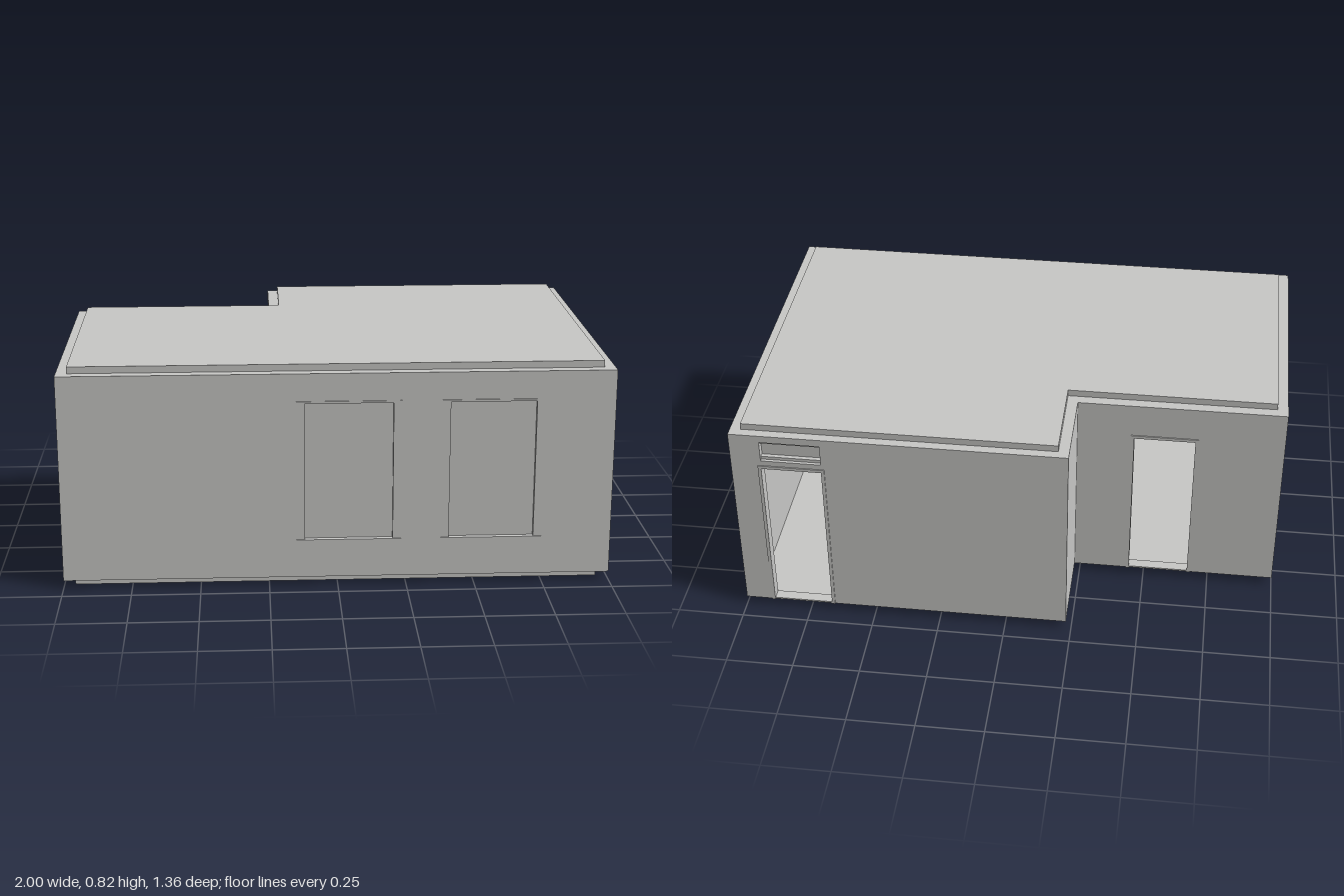
import * as THREE from 'three';
import { RoundedBoxGeometry } from 'three/addons/geometries/RoundedBoxGeometry.js';

const T = 0.04;        // wall thickness
const Y0 = 0.03, Y1 = 0.8;

const plaster = new THREE.MeshStandardMaterial({ color: 0xc8c8c6 });
plaster.name = 'plasterGrey';
const cloth = new THREE.MeshStandardMaterial({ color: 0xd4d4d2, side: THREE.DoubleSide });
cloth.name = 'clothGrey';

function add(parent, name, geometry, x = 0, y = 0, z = 0, material = plaster) {
  const mesh = new THREE.Mesh(geometry, material);
  mesh.name = name;
  mesh.position.set(x, y, z);
  parent.add(mesh);
  return mesh;
}

// Box given by its extents
function span(parent, name, x0, x1, y0, y1, z0, z1) {
  return add(parent, name, new THREE.BoxGeometry(x1 - x0, y1 - y0, z1 - z0),
    (x0 + x1) / 2, (y0 + y1) / 2, (z0 + z1) / 2);
}

// Wall panel in local XY with rectangular openings [x0, x1, y0, y1]
function wall(parent, name, a, b, openings = []) {
  const group = new THREE.Group();
  group.name = name;
  const shape = new THREE.Shape();
  shape.moveTo(a, Y0).lineTo(b, Y0).lineTo(b, Y1).lineTo(a, Y1).closePath();
  for (const [x0, x1, y0, y1] of openings) {
    const hole = new THREE.Path();
    hole.moveTo(x0, y0).lineTo(x0, y1).lineTo(x1, y1).lineTo(x1, y0).closePath();
    shape.holes.push(hole);
  }
  add(group, name + 'Panel', new THREE.ExtrudeGeometry(shape, { depth: T, bevelEnabled: false }));
  parent.add(group);
  return group;
}

// Recessed window with sill, lintel and mullions; outer face at local z = T
function fillWindow(group, [x0, x1, y0, y1], panes, over) {
  span(group, 'windowPane', x0, x1, y0, y1, 0.015, 0.024);
  span(group, 'windowSill', x0 - over, x1 + over, y0 - 0.008, y0, 0.02, T + 0.004);
  span(group, 'windowLintel', x0 - over, x1 + over, y1, y1 + 0.008, 0.02, T + 0.004);
  for (let i = 1; i < panes; i++) {
    const x = x0 + (x1 - x0) * i / panes;
    span(group, 'mullion', x - 0.008, x + 0.008, y0, y1, 0.01, T - 0.004);
  }
}

// Thin casing around a doorway; outer face at local z = 0
function doorCasing(group, [x0, x1, , y1]) {
  span(group, 'doorCasingTop', x0 - 0.012, x1 + 0.012, y1, y1 + 0.012, -0.004, 0.01);
  span(group, 'doorCasingSide', x0 - 0.012, x0, Y0, y1, -0.004, 0.01);
  span(group, 'doorCasingSide', x1, x1 + 0.012, Y0, y1, -0.004, 0.01);
}

// L-shaped slab within the inner wall faces
function slab(parent, name, y, height) {
  const shape = new THREE.Shape();
  shape.moveTo(-0.96, -0.635).lineTo(0.96, -0.635).lineTo(0.96, 0.64)
    .lineTo(-0.19, 0.64).lineTo(-0.19, 0.29).lineTo(-0.96, 0.29).closePath();
  const geometry = new THREE.ExtrudeGeometry(shape, { depth: height, bevelEnabled: false });
  geometry.rotateX(-Math.PI / 2);
  add(parent, name, geometry, 0, y, 0);
}

export function createModel() {
  const model = new THREE.Group();
  model.name = 'room';

  slab(model, 'floor', 0, Y0);
  slab(model, 'roof', Y1 - 0.005, 0.03);

  // Front wall with two windows
  const frontWindows = [[-0.12, 0.2, 0.175, 0.69], [0.405, 0.715, 0.175, 0.69]];
  const front = wall(model, 'frontWall', -1, 1, frontWindows);
  front.position.z = 0.675 - T;
  frontWindows.forEach((w) => fillWindow(front, w, 1, 0.03));

  // Long back wall with doorway and transom
  const mainDoor = [0.667, 0.888, 0.036, 0.657];
  const transom = [0.667, 0.888, 0.69, 0.772];
  const back = wall(model, 'backWall', -0.23, 1, [mainDoor, transom]);
  back.position.z = -0.675;
  doorCasing(back, mainDoor);
  span(back, 'transomPane', transom[0], transom[1], transom[2], transom[3], 0.028, 0.036);
  for (const y of [transom[2], transom[3] - 0.012])
    span(back, 'transomRail', transom[0], transom[1], y, y + 0.012, 0.012, 0.03);

  // Recessed back wall with second doorway
  const sideDoor = [-0.67, -0.443, 0.036, 0.657];
  const recess = wall(model, 'recessWall', -1, -0.19, [sideDoor]);
  recess.position.z = -0.33;
  doorCasing(recess, sideDoor);

  // Side walls, turned so that local x runs along world z
  const wideWindow = [-0.18, 0.57, 0.18, 0.72];
  const windowWall = wall(model, 'windowWall', -0.33 + T, 0.675 - T, [wideWindow]);
  windowWall.position.x = -1 + T;
  fillWindow(windowWall, wideWindow, 3, 0.015);
  const notchWall = wall(model, 'notchWall', -0.675 + T, -0.33);
  notchWall.position.x = -0.23 + T;
  const blankWall = wall(model, 'blankWall', -0.675 + T, 0.675 - T);
  blankWall.position.x = 1;
  for (const w of [windowWall, notchWall, blankWall]) w.rotation.y = -Math.PI / 2;

  // Pleated curtain inside the wide window
  const pleats = new THREE.PlaneGeometry(0.8, 0.66, 96, 1);
  const p = pleats.attributes.position;
  for (let i = 0; i < p.count; i++) p.setZ(i, 0.012 * Math.sin(p.getX(i) * 150));
  pleats.computeVertexNormals();
  add(model, 'curtain', pleats, -0.935, 0.4, 0.19, cloth).rotation.y = Math.PI / 2;

  // Sofa under the curtain
  const sofa = new THREE.Group();
  sofa.name = 'sofa';
  add(sofa, 'sofaSeat', new RoundedBoxGeometry(0.2, 0.12, 0.56, 3, 0.02), -0.8, 0.09, 0.2);
  add(sofa, 'sofaBack', new RoundedBoxGeometry(0.06, 0.26, 0.56, 3, 0.02), -0.88, 0.17, 0.2);
  for (const z of [0.06, 0.34])
    add(sofa, 'sofaCushion', new RoundedBoxGeometry(0.06, 0.14, 0.2, 3, 0.025), -0.83, 0.21, z);
  model.add(sofa);

  // Low bed against the front wall
  const bed = new THREE.Group();
  bed.name = 'bed';
  span(bed, 'bedBase', -0.08, 0.4, 0.03, 0.11, 0.3, 0.62);
  add(bed, 'mattress', new RoundedBoxGeometry(0.48, 0.05, 0.32, 3, 0.02), 0.16, 0.135, 0.46);
  model.add(bed);

  // Small hanging lamp
  const lamp = new THREE.Group();
  lamp.name = 'hangingLamp';
  lamp.position.set(0.35, 0.7, -0.1);
  add(lamp, 'lampRod', new THREE.CylinderGeometry(0.004, 0.004, 0.1, 8), 0, 0.05, 0);
  add(lamp, 'lampRing', new THREE.TorusGeometry(0.045, 0.004, 6, 24)).rotation.x = Math.PI / 2;
  for (let i = 0; i < 6; i++) {
    const a = i * Math.PI / 3;
    add(lamp, 'lampBulb', new THREE.SphereGeometry(0.012, 10, 8), 0.045 * Math.cos(a), 0.01, 0.045 * Math.sin(a));
  }
  for (const a of [0, Math.PI / 3, -Math.PI / 3])
    add(lamp, 'lampArm', new THREE.BoxGeometry(0.09, 0.005, 0.005)).rotation.y = a;
  model.add(lamp);

  return model;
}
